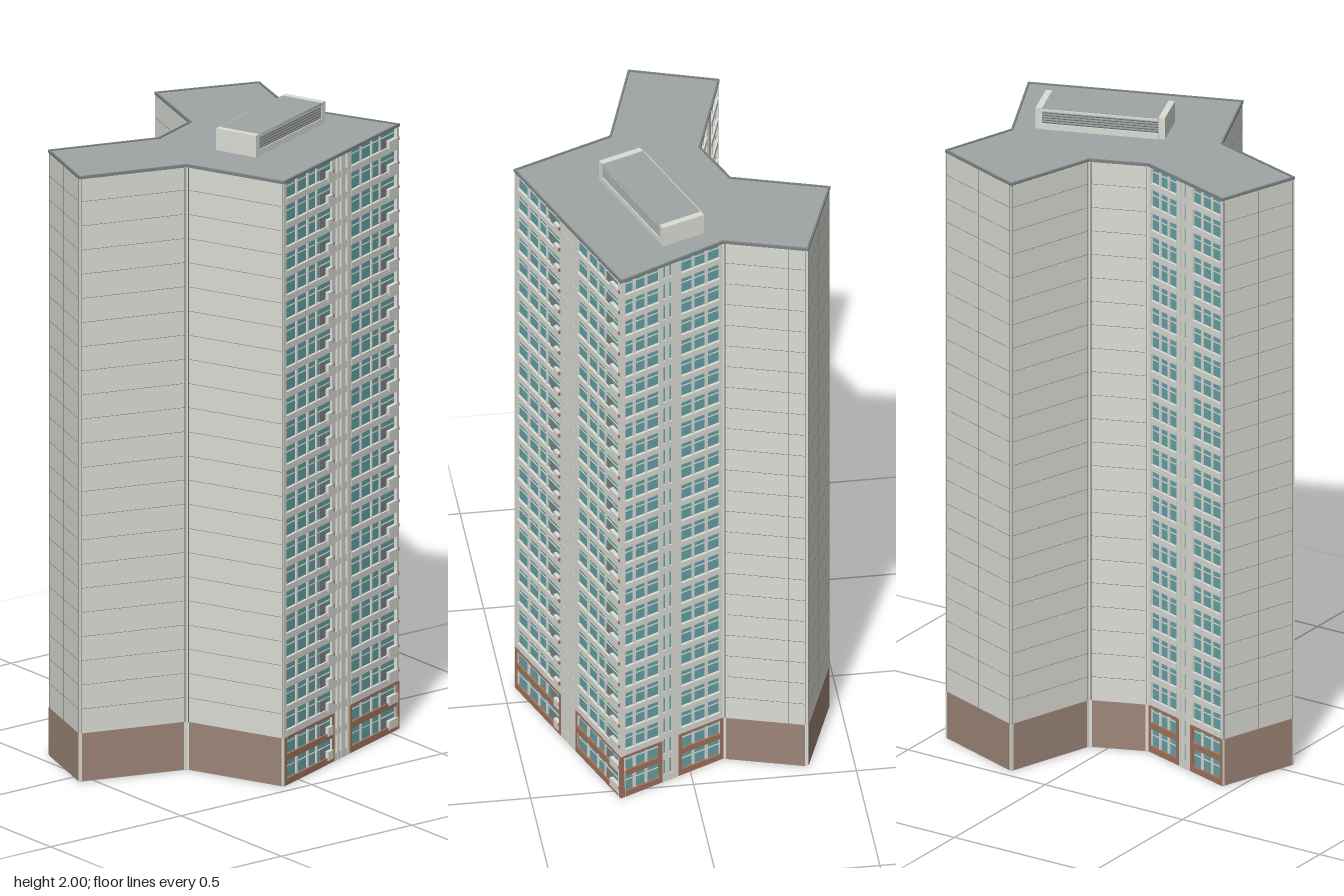
import * as THREE from 'three';
import { mergeGeometries } from 'three/addons/utils/BufferGeometryUtils.js';

const H = 1.93, FLOORS = 25, FLOOR = H / FLOORS, BASE = FLOOR * 2, RECESS = 0.014;

const mat = (name, color) => {
  const m = new THREE.MeshStandardMaterial({ color });
  m.name = name;
  return m;
};

// Footprint corners [x, z], running left to right as seen from outside
const PLAN = [
  [-0.08, 0.466], [0.543, 0.229], [0.381, -0.108], [0.457, -0.357], [0.145, -0.469],
  [0.054, -0.177], [-0.118, -0.109], [-0.457, -0.216], [-0.544, 0.049], [-0.212, 0.153],
];

// Window layouts as fractions of the wall width: glazed bays with mullions, and narrow slits
const WIDE = [
  { t: [0.025, 0.42], mullions: [0.122, 0.217, 0.294], doors: [[0.325, 0.375]], balconies: [[0.375, 0.42]] },
  { t: [0.45, 0.468], slit: true }, { t: [0.485, 0.503], slit: true }, { t: [0.535, 0.553], slit: true },
  { t: [0.59, 0.985], mullions: [0.68, 0.772, 0.845], doors: [[0.85, 0.905]], balconies: [[0.905, 0.985]] },
];
const NARROW = [
  { t: [0.03, 0.375], mullions: [0.14, 0.255], doors: [], balconies: [] },
  { t: [0.42, 0.445], slit: true }, { t: [0.475, 0.505], slit: true },
  { t: [0.595, 0.97], mullions: [0.715, 0.845], doors: [], balconies: [] },
];
const FACADES = { 0: WIDE, 1: NARROW, 6: NARROW };
const SEAMS = { 2: [0.77], 3: [0.5], 7: [0.5] };

// Moves every wall of the plan inward by its own distance
function inset(distance) {
  const n = PLAN.length;
  const line = (i) => {
    const [ax, az] = PLAN[i], [bx, bz] = PLAN[(i + 1) % n];
    const len = Math.hypot(bx - ax, bz - az);
    const nx = -(bz - az) / len, nz = (bx - ax) / len;
    return [nx, nz, nx * ax + nz * az - distance(i)];
  };
  return PLAN.map((_, i) => {
    const [a, b, c] = line((i + n - 1) % n), [d, e, f] = line(i);
    const det = a * e - b * d;
    return new THREE.Vector2((c * e - b * f) / det, -(a * f - c * d) / det);
  });
}

function slab(points, y, height, hole) {
  const shape = new THREE.Shape(points);
  if (hole) shape.holes.push(new THREE.Path(hole));
  return new THREE.ExtrudeGeometry(shape, { depth: height, bevelEnabled: false })
    .rotateX(-Math.PI / 2).translate(0, y, 0);
}

// Box given by its limits
const block = (x0, x1, y0, y1, z0, z1) => new THREE.BoxGeometry(x1 - x0, y1 - y0, z1 - z0)
  .translate((x0 + x1) / 2, (y0 + y1) / 2, (z0 + z1) / 2);

export function createModel() {
  const model = new THREE.Group();
  model.name = 'apartmentTower';
  const M = {
    wall: mat('pale concrete', 0xdcdcd5),
    roof: mat('grey roofing', 0x9fa5a5),
    under: mat('underside concrete', 0xcacac6),
    base: mat('brown base', 0x9d8577),
    trim: mat('red brown trim', 0xa0745e),
    glass: mat('teal glass', 0x66a3a8),
    dark: mat('dark joint', 0x6a6e70),
    door: mat('grey door', 0x7d8484),
  };
  const add = (parent, name, geometry, material) => {
    const mesh = new THREE.Mesh(Array.isArray(geometry) ? mergeGeometries(geometry) : geometry, material);
    mesh.name = name;
    parent.add(mesh);
  };

  // Tower body, with window walls set back behind their frames
  add(model, 'towerBody', slab(inset((i) => (FACADES[i] ? RECESS : 0)), 0.002, H - 0.008), M.wall);
  add(model, 'underside', slab(inset(() => 0.001), 0, 0.003), M.under);
  add(model, 'roofDeck', slab(inset(() => 0.002), H - 0.006, 0.007), M.roof);
  add(model, 'parapetRim', slab(inset(() => -0.002), H - 0.004, 0.009, inset(() => 0.004)), M.door);

  PLAN.forEach(([ax, az], i) => {
    const [bx, bz] = PLAN[(i + 1) % PLAN.length];
    const W = Math.hypot(bx - ax, bz - az);
    const side = new THREE.Group();
    side.position.set(ax, 0, az);
    side.rotation.y = Math.atan2(az - bz, bx - ax);
    side.name = FACADES[i] ? 'windowWall' : 'plainWall';
    model.add(side);
    if (FACADES[i]) buildWindowWall(side, W, FACADES[i]);
    else buildPlainWall(side, W, SEAMS[i] || []);
  });

  // Blank wall: brown base band and fine panel joints
  function buildPlainWall(side, W, seams) {
    add(side, 'baseBand', block(0.009, W - 0.009, 0.002, BASE, -0.001, 0.002), M.base);
    const joints = [];
    for (let f = 3; f < FLOORS; f++) joints.push(block(0.008, W - 0.008, f * FLOOR, f * FLOOR + 0.001, -0.001, 0.0006));
    [0.006 / W, 1 - 0.006 / W, ...seams].forEach((t) =>
      joints.push(block(t * W - 0.001, t * W + 0.001, BASE, H - 0.006, -0.001, 0.001)));
    add(side, 'panelJoints', joints, M.dark);
  }

  // Window wall: piers, glass strips, spandrels, transoms, slits and balconies
  function buildWindowWall(side, W, bays) {
    const back = -RECESS - 0.001, top = H - 0.006;
    const frame = [], brown = [], glass = [], doors = [], rails = [];
    let from = 0;
    [...bays, { t: [1, 1] }].forEach(({ t, slit, mullions, doors: doorSpans, balconies }, k) => {
      const x0 = t[0] * W, x1 = t[1] * W;
      // Pier to the left of this bay, with brown edging at the base beside the glazed bays
      frame.push(block(from, x0, 0.002, top, back, -0.001));
      if (!slit) brown.push(block(Math.max(from, x0 - 0.011), x0, 0.002, BASE, back, 0.001));
      if (k > 0 && !bays[k - 1].slit) brown.push(block(from, Math.min(x0, from + 0.011), 0.002, BASE, back, 0.001));
      from = x1;
      if (x1 === x0) return;
      glass.push(block(x0, x1, 0.002, top, back, -0.008));
      (mullions || []).forEach((m) => frame.push(block(m * W - 0.004, m * W + 0.004, 0.002, top, back, -0.003)));
      for (let f = 0; f < FLOORS; f++) {
        const y = f * FLOOR + 0.002;
        if (slit) {
          frame.push(block(x0, x1, y, y + 0.022, back, -0.003));
          continue;
        }
        (f < 2 ? brown : frame).push(block(x0, x1, y, y + 0.02, back, 0.001));
        frame.push(block(x0, x1, y + 0.054, y + 0.057, back, -0.006));
        // Shaded balcony door beside a raised balcony front with a brown rail end
        doorSpans.forEach(([a, b]) => doors.push(block(a * W, b * W, y + 0.02, y + 0.054, back, -0.005)));
        balconies.forEach(([a, b]) => {
          frame.push(block(a * W, b * W, y + 0.012, y + 0.04, back, 0.004));
          rails.push(block(b * W, b * W + 0.006, y + 0.03, y + 0.04, -0.002, 0.004));
        });
      }
    });
    // Brown string course closing the base
    bays.filter((b) => !b.slit).forEach(({ t }) => brown.push(block(t[0] * W, t[1] * W, BASE - 0.006, BASE + 0.002, back, 0.002)));
    add(side, 'concreteFrame', frame, M.wall);
    add(side, 'baseFrame', brown, M.trim);
    add(side, 'windows', glass, M.glass);
    if (doors.length) {
      add(side, 'balconyDoors', doors, M.door);
      add(side, 'balconyRails', rails, M.trim);
    }
  }

  // Rooftop plant room with pale end walls and louvred long sides
  const plant = new THREE.Group();
  plant.name = 'plantRoom';
  plant.position.set(0.165, H, 0.081);
  plant.rotation.y = Math.atan2(0.142, 0.375);
  model.add(plant);
  const L = 0.201, D = 0.071;
  const ends = [], louvres = [], slats = [];
  for (const s of [-1, 1]) {
    const e = s * (L - 0.01), z = s * D;
    ends.push(block(e - 0.01, e + 0.01, 0, 0.07, -D, D));
    ends.push(block(-L + 0.02, L - 0.02, 0, 0.02, z - 0.004, z + 0.0005));
    ends.push(block(-L + 0.02, L - 0.02, 0.06, 0.067, z - 0.004, z));
    louvres.push(block(-L + 0.02, L - 0.02, 0.018, 0.062, z - s * 0.006 - 0.002, z - s * 0.006 + 0.002));
    for (let k = 0; k < 5; k++) slats.push(block(-L + 0.02, L - 0.02, 0.023 + k * 0.008, 0.027 + k * 0.008, z - s * 0.003 - 0.002, z - s * 0.003 + 0.002));
  }
  add(plant, 'plantWalls', ends, M.wall);
  add(plant, 'louvreBacks', louvres, M.dark);
  add(plant, 'louvreSlats', slats, M.roof);
  add(plant, 'plantRoof', block(-L + 0.02, L - 0.02, 0.064, 0.069, -D, D), M.roof);
  return model;
}
